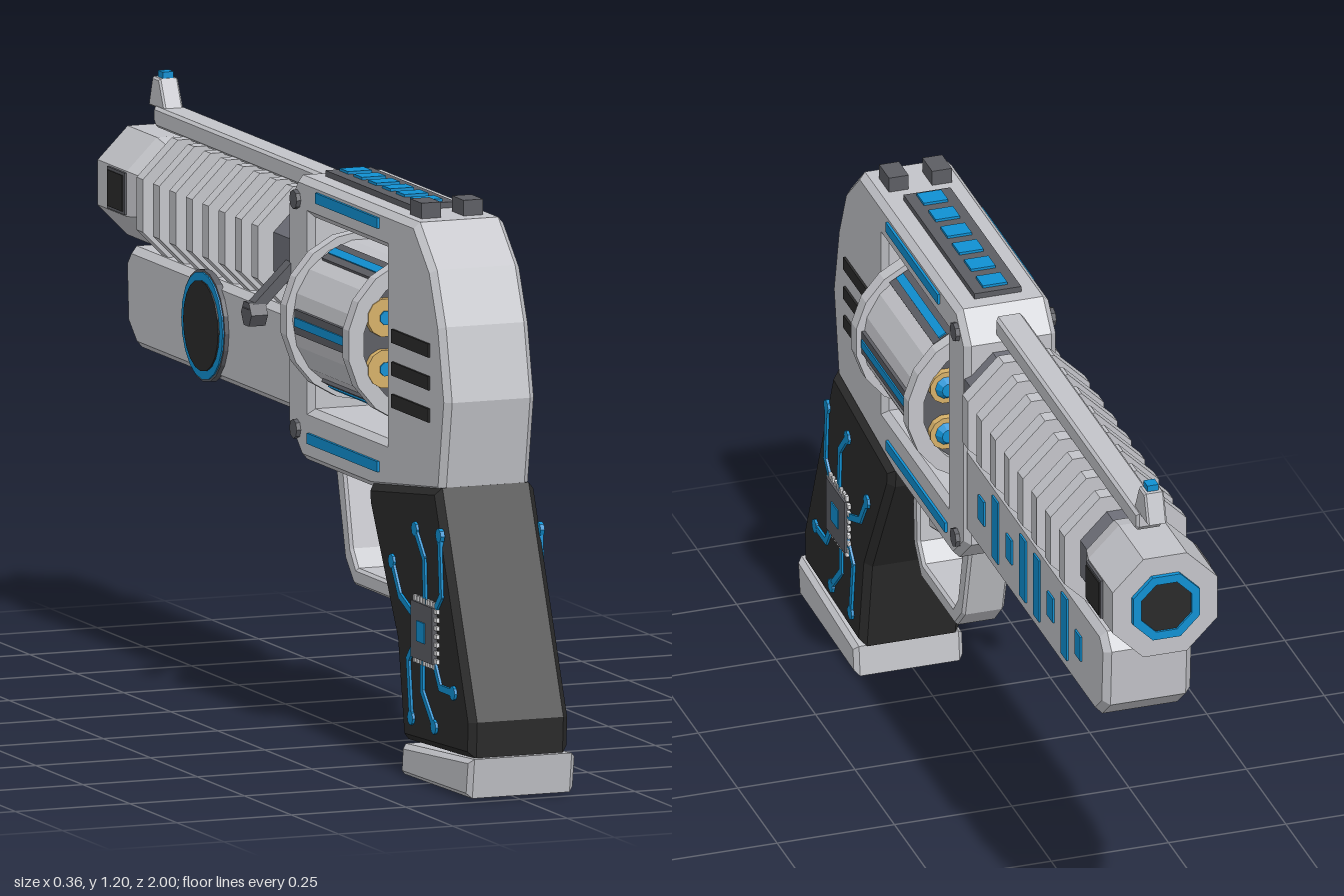
import * as THREE from 'three';

const mat = (name, color) => {
  const m = new THREE.MeshStandardMaterial({ color });
  m.name = name;
  return m;
};

export function createModel() {
  const light = mat('light grey', 0xc3c4c9);
  const dark = mat('dark grey', 0x5c5d63);
  const steel = mat('barrel grey', 0x6e7079);
  const black = mat('grip black', 0x2a2a2a);
  const blue = mat('blue', 0x1090d2);
  const brass = mat('brass', 0xd6b068);
  const white = mat('pin white', 0xe4e4e6);

  const root = new THREE.Group();
  root.name = 'toyBlaster';
  const body = new THREE.Group();
  body.name = 'blasterParts';
  body.position.x = 0.006;
  root.add(body);

  // Adds a faceted mesh
  function add(name, geo, material, x = 0, y = 0, z = 0) {
    const g = geo.index ? geo.toNonIndexed() : geo;
    g.computeVertexNormals();
    const m = new THREE.Mesh(g, material);
    m.name = name;
    m.position.set(x, y, z);
    body.add(m);
    return m;
  }
  const box = (name, material, w, h, d, x, y, z) =>
    add(name, new THREE.BoxGeometry(w, h, d), material, x, y, z);
  const points = (list) => list.map(([z, y]) => new THREE.Vector2(z, y));

  // Side profile in (z, y), extruded across x with bevelled edges
  function slab(name, material, profile, halfWidth, bevel = 0.012, hole = null) {
    const shape = new THREE.Shape(points(profile));
    if (hole) shape.holes.push(new THREE.Path(points(hole)));
    const depth = 2 * (halfWidth - bevel);
    const geo = new THREE.ExtrudeGeometry(shape, {
      depth, bevelEnabled: bevel > 0, bevelSize: bevel, bevelThickness: bevel,
      bevelOffset: -bevel, bevelSegments: 1, curveSegments: 8,
    });
    geo.translate(0, 0, -depth / 2).rotateY(-Math.PI / 2);
    return add(name, geo, material);
  }
  // Prism along z from z0 (front end) to z1 (rear end)
  function prism(name, material, r, z0, z1, x, y, sides, rFront = r) {
    const geo = new THREE.CylinderGeometry(r, rFront, z1 - z0, sides, 1, false, Math.PI / sides);
    return add(name, geo.rotateX(Math.PI / 2), material, x, y, (z0 + z1) / 2);
  }
  function ring(name, material, rOut, rIn, z0, z1, y, sides) {
    const circle = (r) => Array.from({ length: sides }, (_, i) => {
      const a = ((i + 0.5) / sides) * Math.PI * 2;
      return new THREE.Vector2(Math.cos(a) * r, Math.sin(a) * r);
    });
    const shape = new THREE.Shape(circle(rOut));
    shape.holes.push(new THREE.Path(circle(rIn)));
    const geo = new THREE.ExtrudeGeometry(shape, { depth: z1 - z0, bevelEnabled: false });
    return add(name, geo, material, 0, y, z0);
  }
  const disc = (name, material, r, t, x, y, z, sides = 12) =>
    add(name, new THREE.CylinderGeometry(r, r, t, sides).rotateZ(Math.PI / 2), material, x, y, z);

  // Frame with the open drum window
  slab('frame', light, [
    [0.66, 1.134], [0.75, 1.05], [0.797, 0.94], [0.83, 0.79], [0.797, 0.6], [0.433, 0.555],
    [0.06, 0.555], [-0.016, 0.62], [-0.016, 1.075], [0.037, 1.134],
  ], 0.098, 0.013, [[0.507, 0.665], [0.507, 1.057], [0.103, 1.057], [0.103, 0.665]]);

  // Frame side details
  for (const s of [-1, 1]) {
    const x = s * 0.099;
    for (const y of [0.885, 0.818, 0.752]) box('sideVent', black, 0.008, 0.028, 0.195, x, y, 0.647);
    box('upperStripe', blue, 0.009, 0.022, 0.33, x, 1.104, 0.31);
    box('lowerStripe', blue, 0.009, 0.022, 0.375, x, 0.605, 0.287);
    for (const y of [1.085, 0.615]) disc('frameScrew', dark, 0.02, 0.016, x, y, 0.037, 8);
  }

  // Top panel and rear sights
  box('topPanel', dark, 0.1, 0.016, 0.45, 0, 1.138, 0.295);
  for (let i = 0; i < 6; i++) box('topLight', blue, 0.052, 0.009, 0.045, 0, 1.147, 0.11 + i * 0.075);
  for (const s of [-1, 1]) box('rearSight', dark, 0.042, 0.04, 0.062, s * 0.046, 1.146, 0.592);

  // Revolving drum
  const cy = 0.86;
  prism('drumBody', light, 0.158, 0.15, 0.465, 0, cy, 18);
  prism('drumFrontFace', dark, 0.14, 0.138, 0.15, 0, cy, 18);
  prism('drumRearFace', dark, 0.14, 0.465, 0.477, 0, cy, 18);
  ring('drumFrontRim', light, 0.174, 0.14, 0.128, 0.158, cy, 18);
  ring('drumRearRim', light, 0.174, 0.14, 0.458, 0.49, cy, 18);
  prism('drumAxle', dark, 0.025, 0.085, 0.525, 0, cy, 8);
  prism('drumRatchet', dark, 0.045, 0.112, 0.14, 0, cy, 8);
  for (let i = 0; i < 6; i++) {
    const a = (i * Math.PI) / 3;
    const b = a + Math.PI / 6;
    const slot = box('drumSlot', dark, 0.008, 0.05, 0.28, Math.cos(a) * 0.157, cy + Math.sin(a) * 0.157, 0.315);
    const strip = box('drumStrip', blue, 0.008, 0.018, 0.27, Math.cos(a) * 0.16, cy + Math.sin(a) * 0.16, 0.315);
    slot.rotation.z = strip.rotation.z = a;
    const bx = Math.cos(b) * 0.105, by = cy + Math.sin(b) * 0.105;
    prism('chargeRear', brass, 0.04, 0.47, 0.493, bx, by, 12);
    prism('chargeRearLight', blue, 0.015, 0.493, 0.497, bx, by, 8);
    prism('chargeFront', brass, 0.036, 0.122, 0.14, bx, by, 12);
    prism('chargeTip', blue, 0.025, 0.108, 0.122, bx, by, 10, 0.015);
  }

  // Barrel, cooling ribs and muzzle
  const by = 0.957;
  prism('barrel', steel, 0.104, -0.8, 0, 0, by, 8);
  for (let i = 0; i < 8; i++) {
    const z = -0.11 - i * 0.0873;
    prism('coolingRib', light, 0.141, z - 0.017, z + 0.017, 0, by, 8);
  }
  prism('muzzleCollar', light, 0.109, -0.835, -0.79, 0, 0.96, 8, 0.121);
  prism('muzzle', light, 0.121, -0.99, -0.835, 0, 0.96, 8);
  ring('muzzleRing', blue, 0.077, 0.058, -1, -0.989, 0.96, 8);
  prism('muzzleBore', black, 0.06, -0.995, -0.985, 0, 0.96, 8);
  for (const s of [-1, 1]) {
    box('muzzleVentFrame', dark, 0.012, 0.086, 0.092, s * 0.111, 0.96, -0.882);
    box('muzzleVent', black, 0.009, 0.074, 0.08, s * 0.115, 0.96, -0.882);
  }

  // Top rail and front sight
  slab('topRail', light, [[0, 1.083], [0, 1.125], [-0.897, 1.125], [-0.897, 1.095], [-0.885, 1.083]], 0.029, 0.006);
  slab('frontSight', light, [[-0.855, 1.12], [-0.885, 1.182], [-0.922, 1.182], [-0.942, 1.12]], 0.021, 0.004);
  box('sightTip', blue, 0.024, 0.016, 0.026, 0, 1.187, -0.9);

  // Under-barrel housing with lights on the left, dial on the right
  slab('underBarrel', light, [
    [0, 0.645], [0, 0.848], [-0.86, 0.848], [-0.89, 0.815], [-0.882, 0.69], [-0.83, 0.645],
  ], 0.094, 0.014);
  [0, 1, 0, 1, 1, 0, 1, 0].forEach((tall, i) =>
    box('housingLight', blue, 0.008, tall ? 0.14 : 0.055, 0.037, 0.094, 0.75, -0.112 - i * 0.0875));
  disc('dialRim', dark, 0.115, 0.014, -0.096, 0.75, -0.45, 20);
  disc('dialRing', blue, 0.11, 0.012, -0.1, 0.75, -0.45, 20);
  disc('dialFace', black, 0.093, 0.012, -0.103, 0.75, -0.45, 20);

  // Release lever on the right
  const lever = box('releaseLever', dark, 0.022, 0.14, 0.032, -0.132, 0.9, -0.012);
  lever.rotation.z = -0.8;
  disc('releaseKnob', dark, 0.028, 0.036, -0.171, 0.848, -0.012, 6);

  // Grip and base plate
  slab('grip', black, [
    [0.8, 0.612], [0.435, 0.565], [0.44, 0.525], [0.585, 0.27], [0.62, 0.07], [0.98, 0.085], [0.985, 0.16],
  ], 0.108, 0.014);
  slab('gripBase', light, [[1, 0.088], [0.635, 0.064], [0.628, 0], [0.988, 0.006]], 0.116, 0.01);

  // Circuit decoration on both grip sides; each trace starts at its round node
  const traces = [
    [[0.824, 0.519], [0.834, 0.396], [0.775, 0.335]],
    [[0.695, 0.513], [0.743, 0.46], [0.749, 0.36]],
    [[0.572, 0.428], [0.615, 0.364], [0.69, 0.335]],
    [[0.898, 0.208], [0.829, 0.208], [0.79, 0.265]],
    [[0.797, 0.123], [0.733, 0.187], [0.733, 0.26]],
    [[0.674, 0.123], [0.658, 0.241], [0.7, 0.285]],
  ];
  for (const s of [-1, 1]) {
    const x = s * 0.109;
    for (const path of traces) {
      disc('traceNode', blue, 0.015, 0.009, x, path[0][1], path[0][0], 8);
      for (let i = 0; i < 2; i++) {
        const [z0, y0] = path[i], [z1, y1] = path[i + 1];
        const len = Math.hypot(z1 - z0, y1 - y0) + 0.008;
        const t = box('trace', blue, 0.008, 0.014, len, x, (y0 + y1) / 2, (z0 + z1) / 2);
        t.rotation.x = -Math.atan2(y1 - y0, z1 - z0);
      }
    }
    box('chip', dark, 0.018, 0.116, 0.116, s * 0.11, 0.31, 0.748);
    box('chipCore', blue, 0.009, 0.042, 0.042, s * 0.117, 0.31, 0.748);
    for (let i = 0; i < 7; i++) {
      const o = (i - 3) * 0.017;
      for (const e of [-0.063, 0.063]) {
        box('chipPin', white, 0.009, 0.009, 0.012, s * 0.11, 0.31 + o, 0.748 + e);
        box('chipPin', white, 0.009, 0.012, 0.009, s * 0.11, 0.31 + e, 0.748 + o);
      }
    }
  }

  // Trigger guard and trigger
  slab('triggerGuard', light, [
    [0.485, 0.57], [0.472, 0.375], [0.425, 0.318], [0.208, 0.318], [0.16, 0.365], [0.105, 0.57],
    [0.15, 0.57], [0.193, 0.39], [0.222, 0.354], [0.412, 0.354], [0.443, 0.39], [0.45, 0.57],
  ], 0.045, 0.006);
  slab('trigger', light, [
    [0.385, 0.57], [0.39, 0.505], [0.44, 0.455], [0.432, 0.424], [0.36, 0.445], [0.3, 0.54], [0.3, 0.57],
  ], 0.025, 0.005);

  return root;
}
